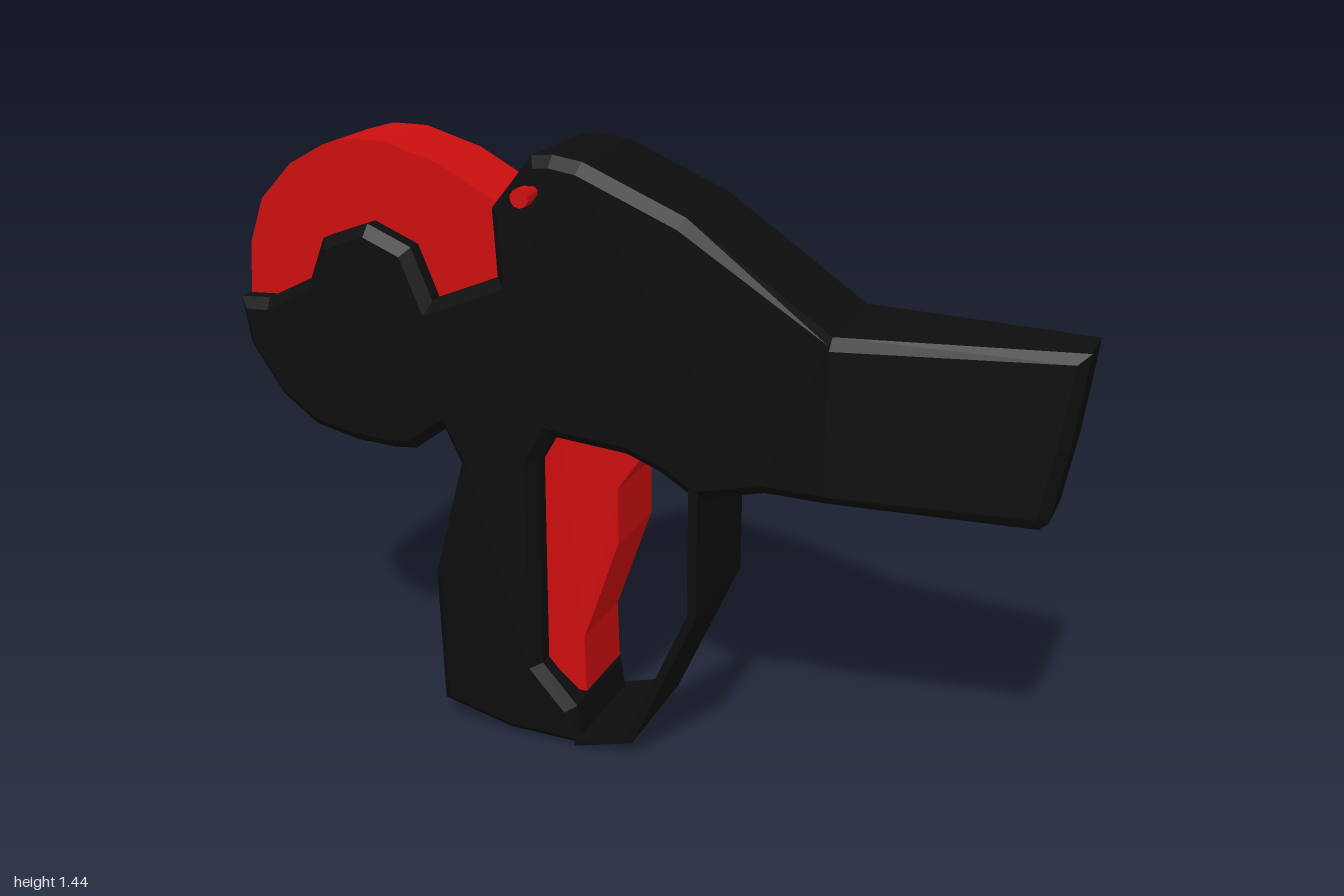
import * as THREE from 'three';

const black = new THREE.MeshStandardMaterial({ color: 0x0d0d0d, flatShading: true });
const red = new THREE.MeshStandardMaterial({ color: 0xcc0e0e, flatShading: true });
const Z0 = -0.19, Z1 = 0.13, ZC = -0.03; // body thickness and its middle
const JOINT = 0.47; // where the barrel starts to taper

// Side outline extruded from z0 to z1; the bevel stays inside the outline
function slab(points, z0, z1, bevel = 0) {
  const shape = new THREE.Shape(points.map(([x, y]) => new THREE.Vector2(x, y)));
  const g = new THREE.ExtrudeGeometry(shape, {
    depth: z1 - z0 - 2 * bevel,
    bevelEnabled: bevel > 0,
    bevelThickness: bevel,
    bevelSize: bevel,
    bevelOffset: -bevel,
    bevelSegments: 1,
  });
  return g.translate(0, 0, z0 + bevel);
}

// Move every vertex by a rule
function warp(g, rule) {
  const p = g.attributes.position, v = new THREE.Vector3();
  for (let i = 0; i < p.count; i++) {
    rule(v.fromBufferAttribute(p, i));
    p.setXYZ(i, v.x, v.y, v.z);
  }
  g.computeVertexNormals();
  return g;
}

export function createModel() {
  const model = new THREE.Group();
  const add = (name, geometry, material) => {
    const mesh = new THREE.Mesh(geometry, material);
    mesh.name = name;
    model.add(mesh);
    return mesh;
  };

  // Body, hub and grip in one outline, counter-clockwise from the hub's rear
  const body = slab([
    [-1, 1.035], [-0.98, 0.92], [-0.9, 0.8], [-0.81, 0.735], [-0.7, 0.71], [-0.6, 0.705],
    [-0.54, 0.71], [-0.46, 0.77], [-0.42, 0.69], [-0.5, 0.39], [-0.49, 0.05], [-0.31, 0.005],
    [-0.115, 0], [-0.13, 0.1], [-0.22, 0.2], [-0.22, 0.72], [-0.18, 0.79], [0, 0.775],
    [0.08, 0.745], [0.17, 0.69], [0.33, 0.73], [JOINT, 0.727],
    [JOINT, 1.105], [0.14, 1.33], [-0.1, 1.43], [-0.17, 1.44], [-0.22, 1.435], [-0.32, 1.31],
    [-0.31, 1.15], [-0.48, 1.08], [-0.53, 1.2], [-0.64, 1.245], [-0.76, 1.2], [-0.8, 1.1],
    [-0.92, 1.04],
  ], Z0, Z1, 0.025);
  add('body', warp(body, (v) => { if (v.x > 0.42) v.x = JOINT; }), black);

  // Barrel narrowing towards the muzzle
  const barrel = slab([
    [JOINT, 0.727], [0.92, 0.713], [0.94, 0.73], [0.97, 0.9], [0.995, 1.11], [JOINT, 1.105],
  ], Z0, Z1, 0.025);
  add('barrel', warp(barrel, (v) => {
    if (v.x < 0.52) v.x = JOINT;
    v.z = ZC + (v.z - ZC) * (1 - 0.56 * (v.x - JOINT) / (1 - JOINT));
  }), black);

  // Thin guard in front of the trigger
  add('triggerGuard', slab([
    [-0.13, 0], [0.02, 0.04], [0.18, 0.4], [0.18, 0.72],
    [0.158, 0.72], [0.158, 0.405], [0.008, 0.06], [-0.13, 0.02],
  ], Z0 + 0.005, Z1 - 0.005), black);

  // Trigger
  add('trigger', slab([
    [-0.23, 0.2], [-0.14, 0.125], [-0.12, 0.125], [-0.125, 0.27], [-0.09, 0.37], [-0.035, 0.53],
    [-0.035, 0.67], [0.04, 0.78], [-0.18, 0.8], [-0.23, 0.72],
  ], -0.135, 0.07), red);

  // Wheel seated in the hub
  add('wheel', slab([
    [-0.995, 1.03], [-0.65, 0.9], [-0.31, 1.08], [-0.31, 1.305], [-0.47, 1.39], [-0.61, 1.43],
    [-0.7, 1.43], [-0.77, 1.41], [-0.86, 1.36], [-0.945, 1.27], [-0.985, 1.16],
  ], -0.14, 0.07), red);

  // Small pin on the front face: shaft and head
  for (const [name, r, z, len] of [['pinShaft', 0.014, 0.14, 0.06], ['pinHead', 0.022, 0.18, 0.034]]) {
    const pin = add(name, new THREE.CylinderGeometry(r, r, len, 10).rotateX(Math.PI / 2), red);
    pin.position.set(-0.208, 1.36, z);
  }
  return model;
}
